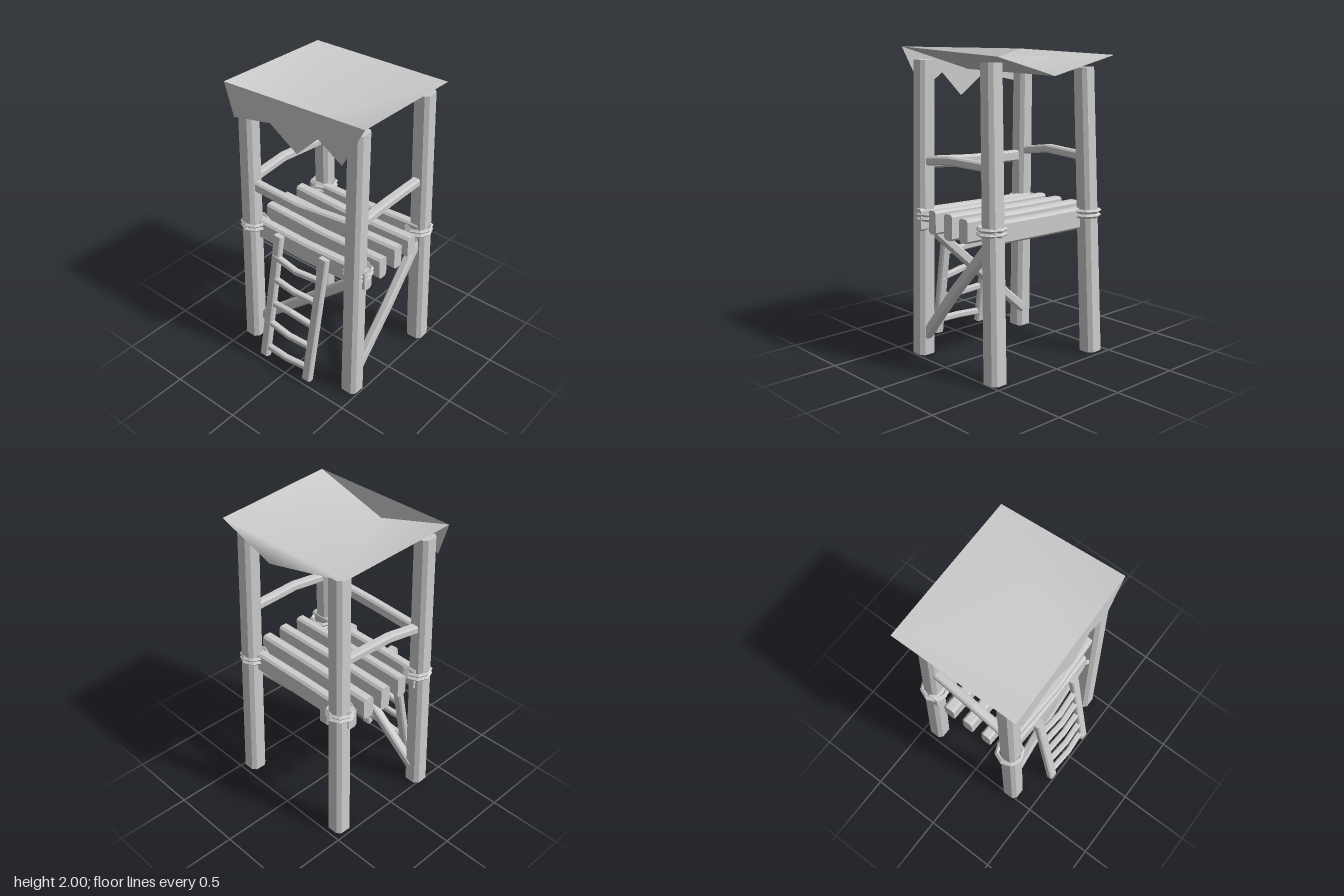
import * as THREE from 'three';

const grey = new THREE.MeshStandardMaterial({ color: 0xcccccc, side: THREE.DoubleSide });
grey.name = 'plain grey';

const vec = (p) => new THREE.Vector3(...p);

function add(group, name, geometry) {
  const mesh = new THREE.Mesh(geometry, grey);
  mesh.name = name;
  group.add(mesh);
  return mesh;
}

function facets(points, faces, smooth = false) {
  let g = new THREE.BufferGeometry();
  g.setAttribute('position', new THREE.Float32BufferAttribute(points.flat(), 3));
  g.setIndex(faces.flat());
  if (!smooth) g = g.toNonIndexed();
  g.computeVertexNormals();
  return g;
}

// Rough timber: a chamfered rectangle (w across, h along the up reference) swept along a path
function timber(path, w, h, up = [0, 1, 0], taper = 1) {
  const pts = path.map(vec);
  const dir = pts[pts.length - 1].clone().sub(pts[0]).normalize();
  const side = vec(up).cross(dir).normalize();
  const top = dir.clone().cross(side);
  const c = Math.min(w, h) * 0.2;
  const a = w / 2, b = h / 2;
  const ring = [[a, -b + c], [a, b - c], [a - c, b], [c - a, b], [-a, b - c], [-a, c - b], [c - a, -b], [a - c, -b]];
  const n = ring.length, out = [], faces = [];
  pts.forEach((p, i) => {
    const s = 1 + (taper - 1) * i / (pts.length - 1);
    for (const [u, v] of ring) {
      out.push(p.clone().addScaledVector(side, u * s).addScaledVector(top, v * s).toArray());
    }
  });
  for (let i = 0; i < pts.length - 1; i++) {
    for (let j = 0; j < n; j++) {
      const k = (j + 1) % n, p = i * n, q = p + n;
      faces.push([p + j, p + k, q + k], [p + j, q + k, q + j]);
    }
  }
  const last = (pts.length - 1) * n;
  for (let j = 1; j < n - 1; j++) {
    faces.push([0, j + 1, j], [last, last + j, last + j + 1]);
  }
  return facets(out, faces);
}

export function createModel() {
  const model = new THREE.Group();
  model.name = 'watchtower';

  // Four corner posts leaning slightly inward: foot and head
  const posts = [
    ['frontRightPost', [-0.45, 0, 0.31], [-0.435, 1.91, 0.27]],
    ['frontLeftPost', [0.43, 0, 0.31], [0.42, 1.92, 0.27]],
    ['backRightPost', [-0.415, 0, -0.41], [-0.365, 1.87, -0.355]],
    ['backLeftPost', [0.445, 0, -0.41], [0.42, 1.92, -0.355]],
  ];
  for (const [name, foot, head] of posts) {
    add(model, name, timber([foot, head], 0.122, 0.122, [0, 0, 1], 0.92));
  }

  // Rope lashings, two turns at each post
  for (const [name, x, z] of [['frontRight', -0.435, 0.275], ['frontLeft', 0.415, 0.25],
    ['backRight', -0.39, -0.375], ['backLeft', 0.43, -0.365]]) {
    for (const y of [0.922, 0.952]) {
      const g = new THREE.TorusGeometry(0.083, 0.014, 4, 8).toNonIndexed();
      g.computeVertexNormals();
      const rope = add(model, name + 'Lashing', g);
      rope.rotation.x = Math.PI / 2;
      rope.position.set(x, y, z);
    }
  }

  // Floor timbers running side to side, with slight bows and skews
  const floor = [
    [0.25, 0.26, 0.90, 0.915, 0.07, 0.145],
    [0.10, 0.11, 0.915, 0.92, 0.07, 0.15],
    [-0.05, -0.045, 0.905, 0.915, 0.075, 0.165],
    [-0.20, -0.19, 0.91, 0.915, 0.08, 0.15],
    [-0.34, -0.35, 0.90, 0.915, 0.07, 0.14],
  ];
  floor.forEach(([z0, z1, y0, y1, w, h], i) => {
    const x = i === 4 ? 0.45 : 0.5;
    add(model, i === 4 ? 'backBeam' : 'floorBeam',
      timber([[-0.46, y0, z0], [0, (y0 + y1) / 2 - 0.005, (z0 + z1) / 2 + 0.01], [x, y1, z1]], w, h));
  });

  // Handrails on the front and both sides
  add(model, 'frontRail', timber([[-0.41, 1.24, 0.28], [0, 1.245, 0.3], [0.41, 1.275, 0.28]], 0.06, 0.075));
  add(model, 'leftRail', timber([[0.42, 1.285, 0.27], [0.43, 1.315, 0], [0.42, 1.31, -0.36]], 0.06, 0.055));
  add(model, 'rightRail', timber([[-0.435, 1.275, 0.27], [-0.42, 1.315, 0], [-0.39, 1.30, -0.36]], 0.06, 0.055));

  // Diagonal braces
  add(model, 'frontBrace', timber([[-0.43, 0.13, 0.27], [0, 0.50, 0.26], [0.41, 0.87, 0.27]], 0.06, 0.065));
  add(model, 'leftBrace', timber([[0.43, 0.12, 0.28], [0.44, 0.485, -0.03], [0.43, 0.85, -0.36]], 0.06, 0.065));

  // Leaning ladder with crooked rungs
  const ladder = new THREE.Group();
  ladder.name = 'ladder';
  model.add(ladder);
  const ladderZ = (y) => 0.475 - (y - 0.04) * 0.175;
  for (const [x0, x1] of [[-0.2, -0.18], [0.18, 0.2]]) {
    add(ladder, 'ladderRail',
      timber([[x0, 0.04, ladderZ(0.04)], [x1, 0.96, ladderZ(0.96)]], 0.068, 0.05, [0, 0, 1], 0.95));
  }
  for (const [y0, ym, y1] of [[0.11, 0.12, 0.13], [0.31, 0.295, 0.29], [0.455, 0.475, 0.445],
    [0.645, 0.635, 0.63], [0.81, 0.785, 0.795]]) {
    const z = ladderZ(ym);
    add(ladder, 'ladderRung', timber([[-0.2, y0, z], [0, ym, z + 0.015], [0.2, y1, z]], 0.04, 0.042));
  }

  // Sagging cloth roof: corners, then the low points of the front and back
  const corners = [
    [-0.515, 1.97, 0.385], [0.525, 2.0, 0.355], [0.49, 1.957, -0.485],
    [-0.52, 1.945, -0.47], [0.05, 1.835, -0.505], [-0.01, 1.845, 0.35],
  ];
  add(model, 'roofCloth', facets(corners, [[0, 5, 3], [5, 2, 3], [5, 1, 2], [3, 2, 4]], true));
  add(model, 'roofUnderside', facets(corners, [[3, 4, 5], [4, 2, 5]]));

  // Torn cloth hanging over the front edge
  const torn = [[-0.515, 1.97], [-0.45, 1.755], [-0.16, 1.81], [0.04, 1.675], [0.2, 1.83], [0.37, 1.72], [0.525, 2.0]];
  const flap = new THREE.ShapeGeometry(new THREE.Shape(torn.map(([x, y]) => new THREE.Vector2(x, y))));
  const p = flap.attributes.position;
  for (let i = 0; i < p.count; i++) p.setZ(i, 0.37 - p.getX(i) * 0.029);
  flap.computeVertexNormals();
  add(model, 'frontFlap', flap);

  return model;
}
